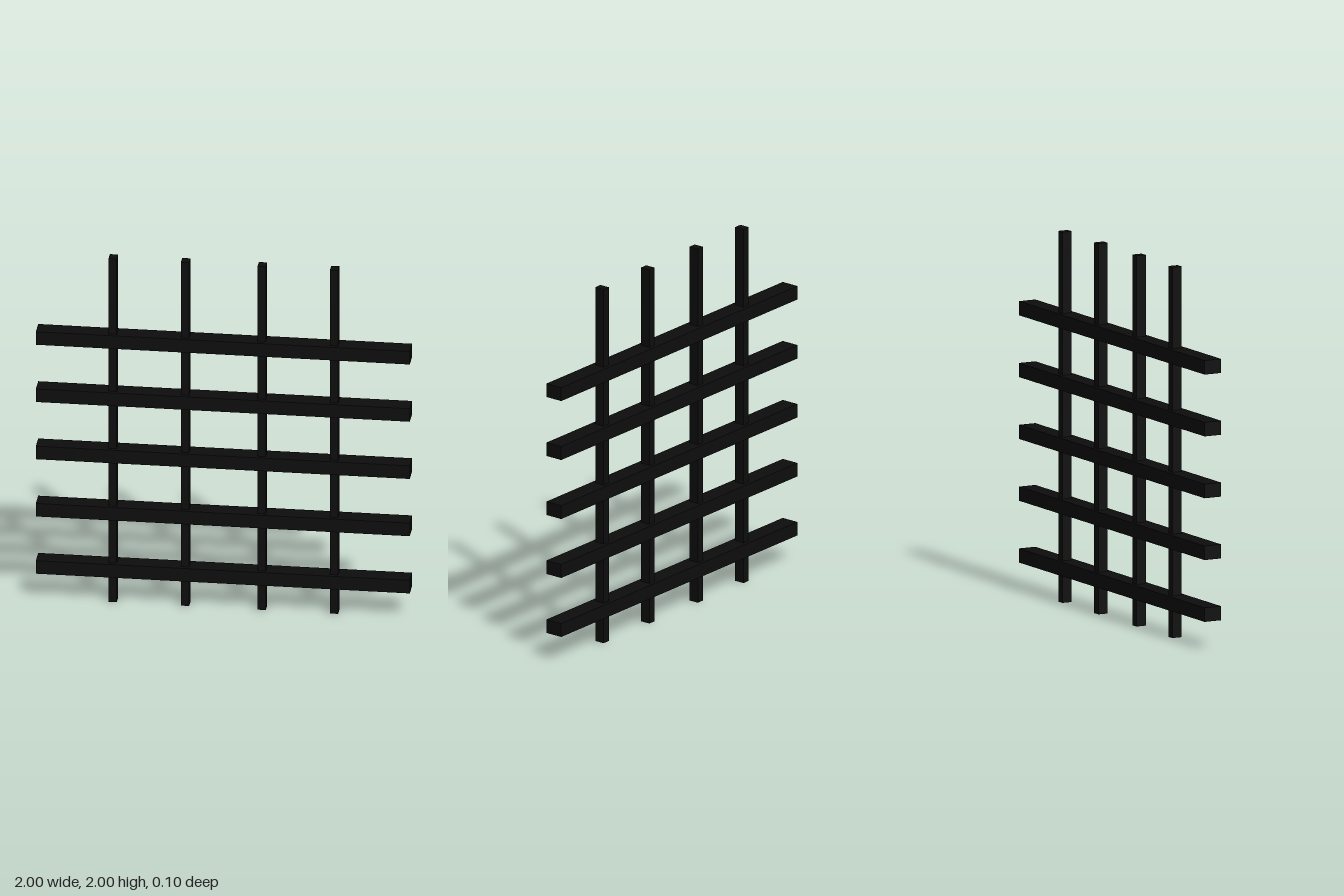
import * as THREE from 'three';

export function createModel() {
  const group = new THREE.Group();
  const material = new THREE.MeshStandardMaterial({ color: 0x0d0d0d });

  const addBar = (name, w, h, d, x, y) => {
    const bar = new THREE.Mesh(new THREE.BoxGeometry(w, h, d), material);
    bar.name = name;
    bar.position.set(x, y, 0);
    group.add(bar);
  };

  // Thin uprights, full height
  [-0.592, -0.205, 0.205, 0.592].forEach((x, i) =>
    addBar(`verticalBar${i + 1}`, 0.044, 2, 0.057, x, 1));

  // Thicker cross rails, evenly spaced
  for (let i = 0; i < 5; i++) {
    addBar(`horizontalRail${i + 1}`, 2, 0.076, 0.1, 0, 0.189 + i * 0.3335);
  }

  return group;
}
